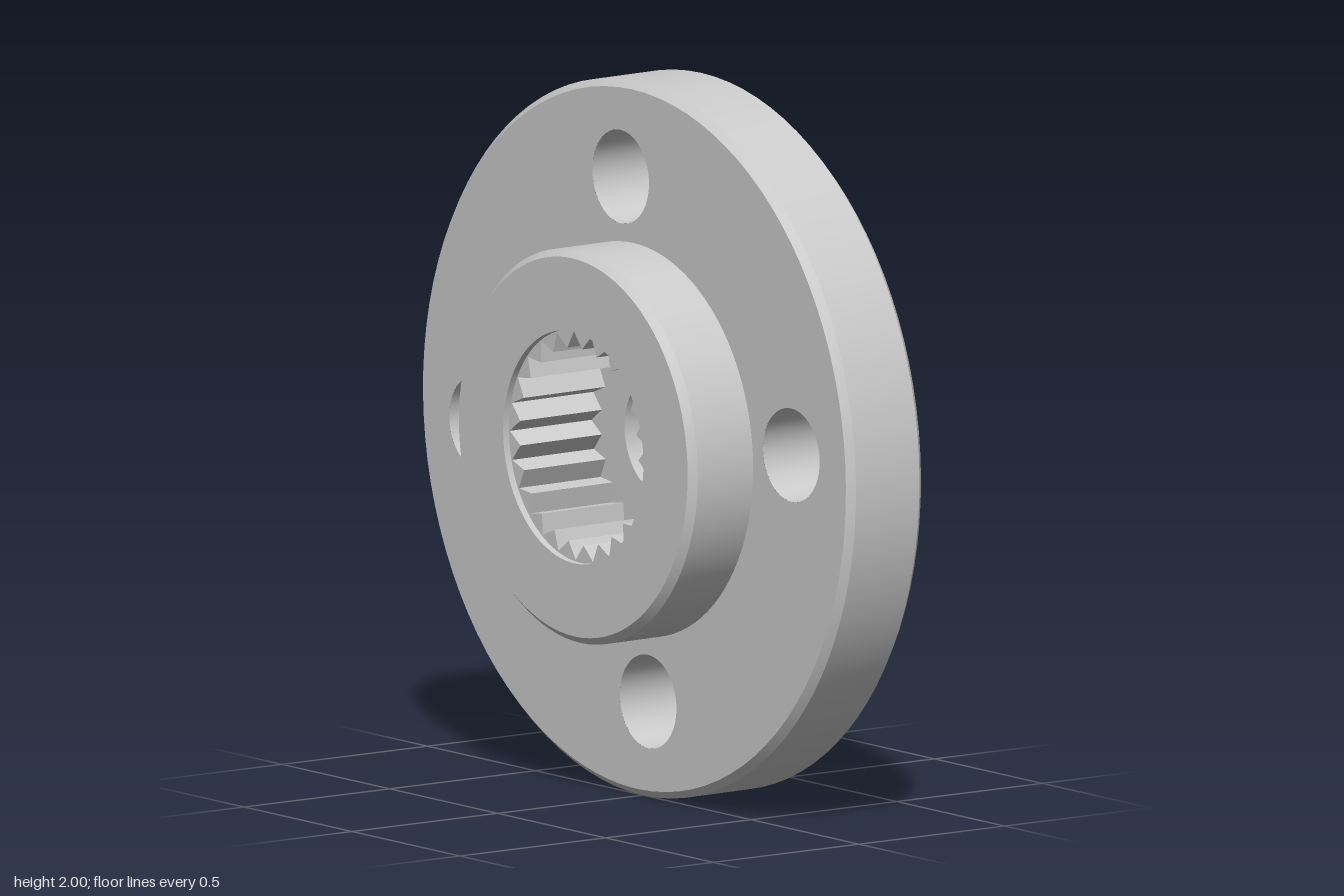
import * as THREE from 'three';
import { toCreasedNormals } from 'three/addons/utils/BufferGeometryUtils.js';

const SEG = 96;
const BACK = -0.03, FRONT = 0.228, HUB = -0.24, FLOOR = 0.06; // stations along the x axis
const R = 1, CH = 0.02, HUB_R = 0.55, BORE_R = 0.325, SCREW_R = 0.167;
const HOLE_R = 0.131, HOLE_DIST = 0.73, TEETH = 25;
const HOLE_ANGLES = [0, 1, 2, 3].map((k) => Math.atan2(0.73, 0.055) + k * Math.PI / 2);

export function createModel() {
  const model = new THREE.Group();
  const mat = new THREE.MeshStandardMaterial({ color: 0xcccccc });

  const add = (name, geometry) => {
    const mesh = new THREE.Mesh(geometry, mat);
    mesh.name = name;
    model.add(mesh);
    return mesh;
  };

  // Surface turned round the x axis from [radius, x] pairs; bores run backwards
  const turned = (profile, segments = SEG) => toCreasedNormals(
    new THREE.LatheGeometry(profile.map(([r, x]) => new THREE.Vector2(r, x)), segments)
      .rotateZ(-Math.PI / 2), 0.5);

  const circle = (r, x = 0, y = 0) => new THREE.Path().absarc(x, y, r, 0, Math.PI * 2, true);

  // Flat disc face with a centre opening and the four mounting holes
  const face = (centreR, side) => {
    const s = new THREE.Shape().absarc(0, 0, R - CH, 0, Math.PI * 2, false);
    s.holes.push(circle(centreR));
    for (const a of HOLE_ANGLES) {
      s.holes.push(circle(HOLE_R, side * HOLE_DIST * Math.cos(a), HOLE_DIST * Math.sin(a)));
    }
    return new THREE.ShapeGeometry(s, SEG / 2)
      .rotateY(side * Math.PI / 2)
      .translate(side > 0 ? FRONT : BACK, 0, 0);
  };

  // Disc with chamfered rim
  add('discRim', turned([[R - CH, BACK], [R, BACK + CH], [R, FRONT - CH], [R - CH, FRONT]]));
  add('discOuterFace', face(SCREW_R, 1));
  add('discHubFace', face(HUB_R, -1));

  // Mounting hole walls
  for (const a of HOLE_ANGLES) {
    add('mountingHole', turned([[HOLE_R, FRONT], [HOLE_R, BACK]], SEG / 2))
      .position.set(0, HOLE_DIST * Math.sin(a), -HOLE_DIST * Math.cos(a));
  }

  // Hub and its stepped bore
  add('hub', turned([[BORE_R, HUB], [HUB_R - CH, HUB], [HUB_R, HUB + CH], [HUB_R, BACK]]));
  add('bore', turned([[SCREW_R, FRONT], [SCREW_R, FLOOR], [BORE_R, FLOOR], [BORE_R, HUB]]));

  // Ring of pointed spline teeth inside the bore
  const ring = new THREE.Shape().absarc(0, 0, BORE_R, 0, Math.PI * 2, false);
  const zigzag = [];
  for (let i = 0; i < TEETH * 2; i++) {
    const a = -i * Math.PI / TEETH, r = i % 2 ? 0.275 : BORE_R - 0.004;
    zigzag.push(new THREE.Vector2(r * Math.cos(a), r * Math.sin(a)));
  }
  ring.holes.push(new THREE.Path(zigzag));
  const start = HUB + 0.02;
  add('splineTeeth', new THREE.ExtrudeGeometry(ring, {
    depth: FLOOR - start, bevelEnabled: false, curveSegments: SEG,
  }).rotateY(Math.PI / 2).translate(start, 0, 0));

  // The whole part leans very slightly
  model.rotation.z = 0.009;
  model.position.y = 1;
  const root = new THREE.Group();
  root.name = 'splinedDisc';
  root.add(model);
  return root;
}
